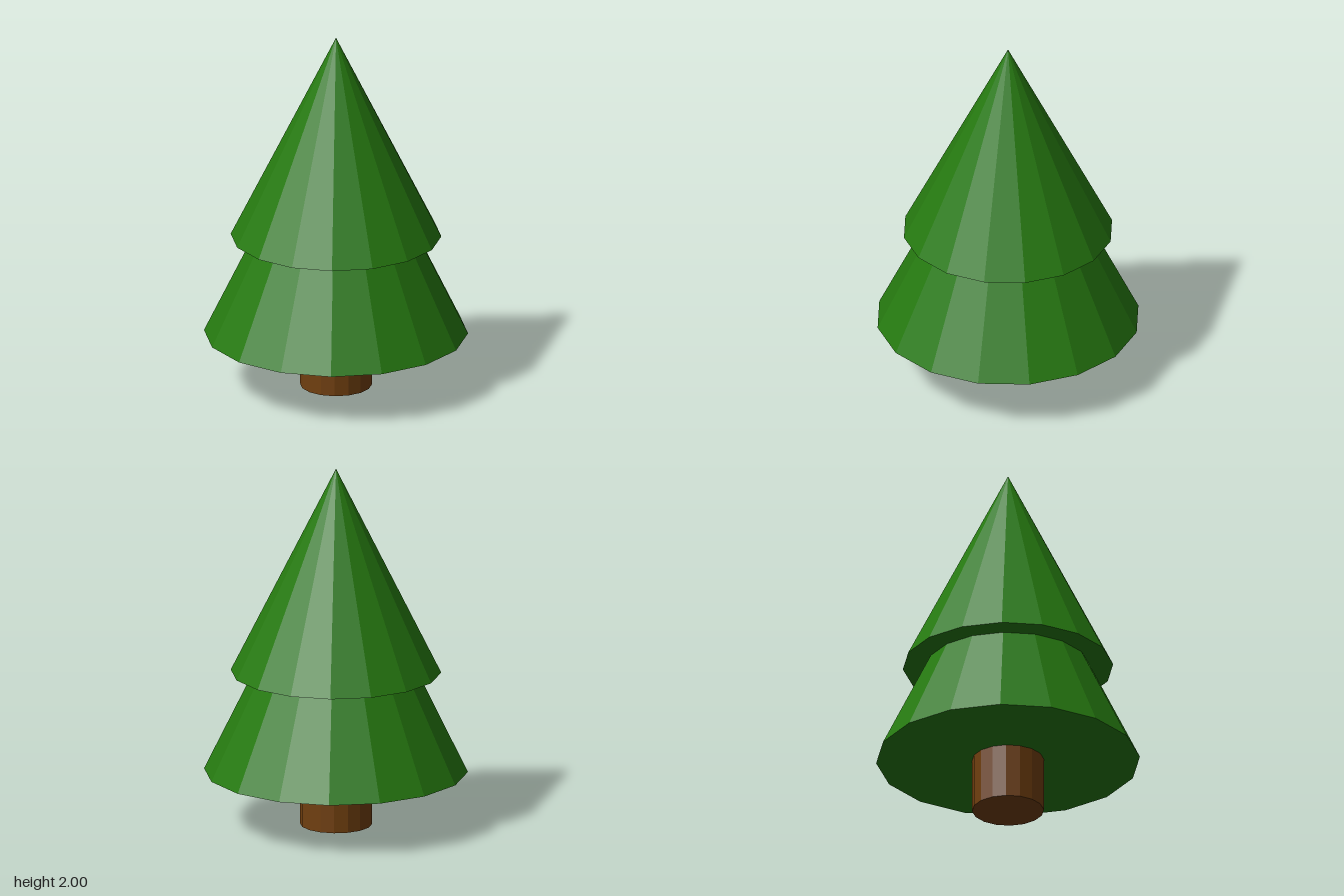
import * as THREE from 'three';

const SIDES = 16;

export function createModel() {
  const tree = new THREE.Group();
  tree.name = 'tree';

  const foliage = new THREE.MeshStandardMaterial({ color: 0x267a10, flatShading: true });
  foliage.name = 'foliage green';
  const bark = new THREE.MeshStandardMaterial({ color: 0x703f0f, flatShading: true });
  bark.name = 'bark brown';

  // Adds a part whose base sits at the given height
  const add = (name, geometry, material, bottom, height) => {
    const mesh = new THREE.Mesh(geometry, material);
    mesh.name = name;
    mesh.position.y = bottom + height / 2;
    tree.add(mesh);
  };

  // Trunk, reaching just inside the lower branches
  add('trunk', new THREE.CylinderGeometry(0.195, 0.195, 0.32, SIDES), bark, 0, 0.32);

  // Two overlapping tiers of branches
  add('lowerBranches', new THREE.ConeGeometry(0.717, 1.465, SIDES), foliage, 0.302, 1.465);
  add('upperBranches', new THREE.ConeGeometry(0.572, 1.14, SIDES), foliage, 0.86, 1.14);

  return tree;
}
